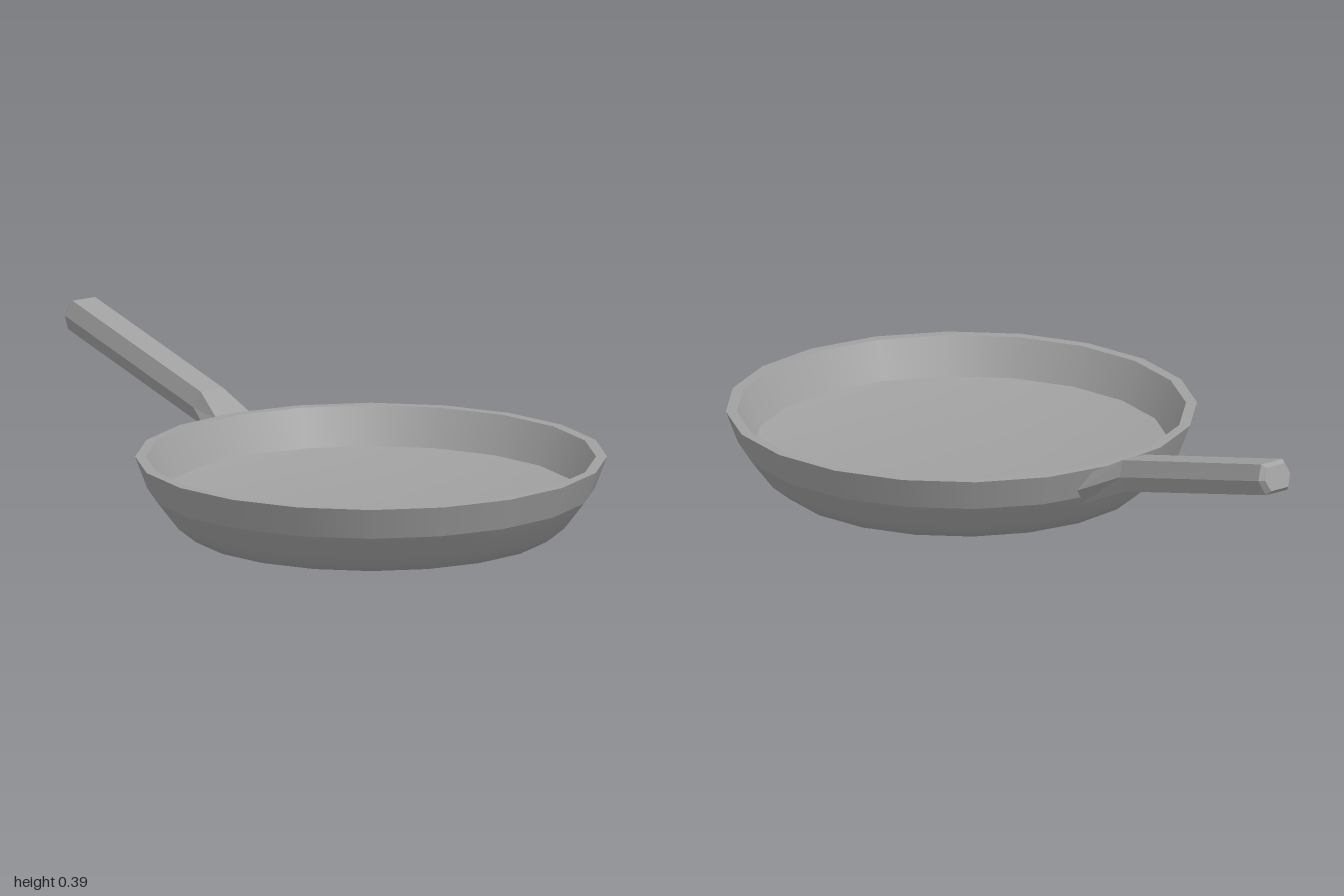
import * as THREE from 'three';

const SIDES = 20;

// Revolved strip of the pan; each strip is smooth, strips meet at sharp edges
function ring(name, profile, material) {
  const points = profile.map(([r, y]) => new THREE.Vector2(r, y));
  const mesh = new THREE.Mesh(new THREE.LatheGeometry(points, SIDES), material);
  mesh.name = name;
  return mesh;
}

// Six-sided cross-section with flat top and bottom, corners at mid height
function hexSection({ top, bottom, flat, wide }) {
  const [yt, zt] = top, [yb, zb] = bottom;
  const ym = (yt + yb) / 2, zm = (zt + zb) / 2;
  return [
    [flat, yt, zt], [wide, ym, zm], [flat, yb, zb],
    [-flat, yb, zb], [-wide, ym, zm], [-flat, yt, zt],
  ];
}

// Faceted skin over successive cross-sections, closed at both ends
function loft(sections) {
  const pos = [], index = [];
  const n = sections[0].length, last = (sections.length - 1) * n;
  sections.forEach((s) => s.forEach((p) => pos.push(...p)));
  for (let s = 0; s < sections.length - 1; s++) {
    for (let i = 0; i < n; i++) {
      const a = s * n + i, b = s * n + (i + 1) % n;
      index.push(a, b, a + n, b, b + n, a + n);
    }
  }
  for (let i = 1; i < n - 1; i++) {
    index.push(0, i + 1, i);
    index.push(last, last + i, last + i + 1);
  }
  const indexed = new THREE.BufferGeometry();
  indexed.setAttribute('position', new THREE.Float32BufferAttribute(pos, 3));
  indexed.setIndex(index);
  const geometry = indexed.toNonIndexed();
  geometry.computeVertexNormals();
  return geometry;
}

export function createModel() {
  const model = new THREE.Group();
  model.name = 'fryingPan';
  const metal = new THREE.MeshStandardMaterial({ color: 0xa0a0a0 });
  metal.name = 'greyMetal';

  // Pan bowl: outer shell, rim, inner wall and slightly dished cooking surface
  const bowl = new THREE.Group();
  bowl.name = 'bowl';
  bowl.position.z = 0.359;
  bowl.add(
    ring('base', [[0, 0], [0.42, 0], [0.5, 0], [0.55, 0.04], [0.608, 0.115]], metal),
    ring('outerWall', [[0.608, 0.115], [0.641, 0.203]], metal),
    ring('rim', [[0.641, 0.203], [0.611, 0.203]], metal),
    ring('innerWall', [[0.611, 0.203], [0.565, 0.1]], metal),
    ring('cookingSurface', [[0.565, 0.1], [0.42, 0.077], [0.2, 0.062], [0, 0.062]], metal),
  );
  model.add(bowl);

  // Handle: flared root, bend, long grip and bevelled tip
  const sections = [
    { top: [0.195, -0.272], bottom: [0.085, -0.218], flat: 0.058, wide: 0.09 },
    { top: [0.25, -0.375], bottom: [0.165, -0.395], flat: 0.038, wide: 0.056 },
    { top: [0.392, -0.967], bottom: [0.309, -0.987], flat: 0.038, wide: 0.056 },
    { top: [0.384, -0.981], bottom: [0.322, -1.0], flat: 0.03, wide: 0.044 },
  ];
  const handle = new THREE.Mesh(loft(sections.map(hexSection)), metal);
  handle.name = 'handle';
  model.add(handle);

  return model;
}
